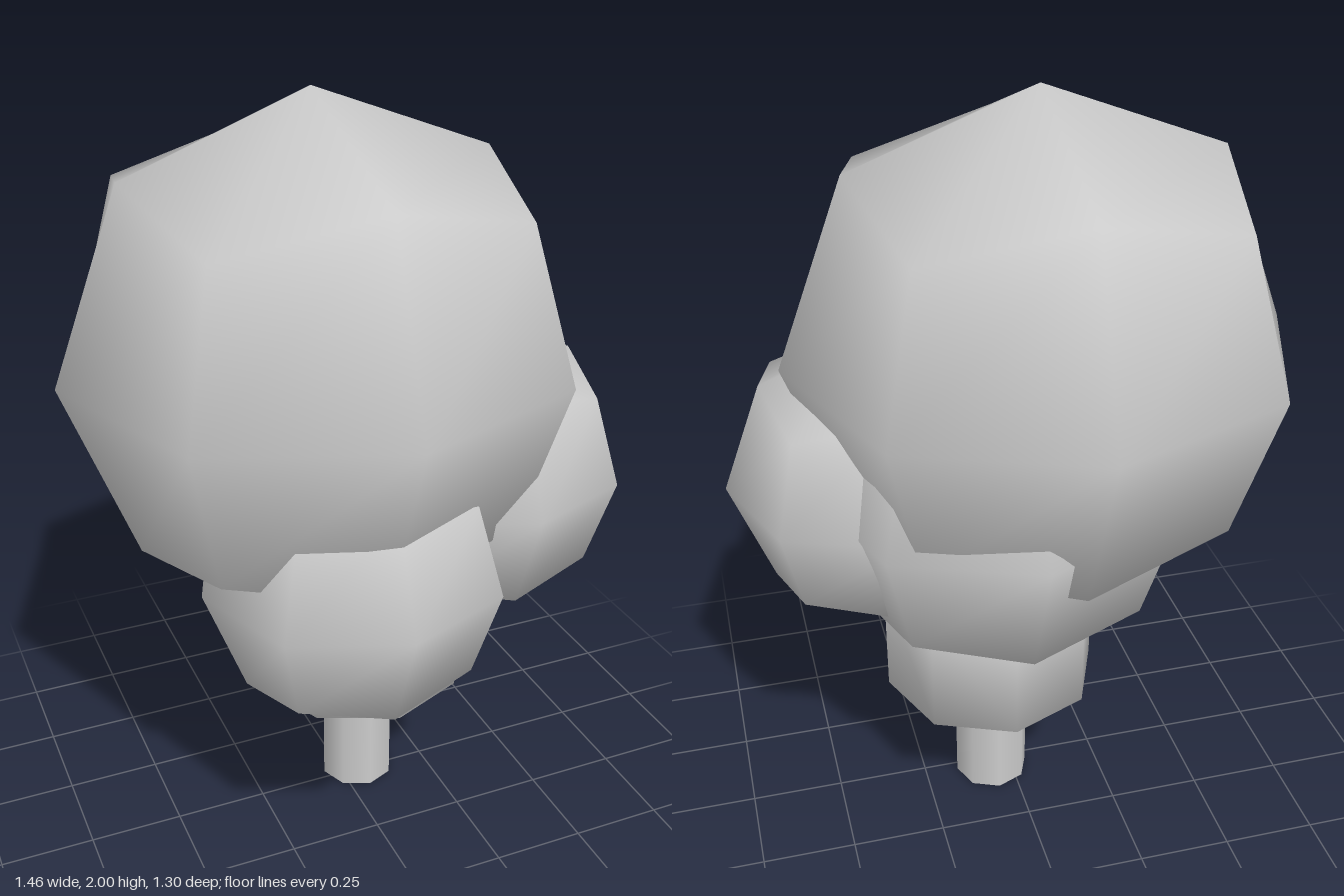
import * as THREE from 'three';
import { mergeVertices } from 'three/addons/utils/BufferGeometryUtils.js';

const material = new THREE.MeshStandardMaterial({ color: 0xcccccc });

// Cube of 2x2 quads per face rounded into a ball: face centres, edge
// midpoints and corners each get their own scale.
function ballGeometry() {
  const box = new THREE.BoxGeometry(2, 2, 2, 2, 2, 2);
  box.deleteAttribute('normal');
  box.deleteAttribute('uv');
  box.clearGroups();
  const geo = mergeVertices(box);
  const pos = geo.attributes.position;
  const scale = [0, 1, 0.726, 0.596];
  for (let i = 0; i < pos.count; i++) {
    const p = new THREE.Vector3().fromBufferAttribute(pos, i);
    const axes = p.toArray().filter((c) => Math.abs(c) > 0.5).length;
    p.multiplyScalar(scale[axes]);
    pos.setXYZ(i, p.x, p.y, p.z);
  }
  geo.computeVertexNormals();
  return geo;
}

export function createModel() {
  const group = new THREE.Group();
  const add = (name, geo, x, y, z) => {
    const mesh = new THREE.Mesh(geo, material);
    mesh.name = name;
    mesh.position.set(x, y, z);
    group.add(mesh);
    return mesh;
  };

  // Foliage: one large crown and three smaller clumps
  const ball = ballGeometry();
  const clumps = [
    ['crown', -0.08, 1.35, 0, 0.65],
    ['frontFoliage', -0.08, 0.855, 0.235, 0.39],
    ['leftFoliage', 0.337, 0.998, 0.072, 0.388],
    ['backFoliage', 0.03, 1.01, -0.03, 0.5],
  ];
  for (const [name, x, y, z, r] of clumps) add(name, ball, x, y, z).scale.setScalar(r);

  // Lower foliage around the trunk top: a coarse ball with three bands
  add('lowerFoliage', new THREE.SphereGeometry(0.337, 8, 3), 0.055, 0.533, -0.025);

  // Trunk with a small recess in its underside
  add('trunk', new THREE.CylinderGeometry(0.103, 0.103, 0.4, 8, 1, true), 0.055, 0.2, -0.025);
  const underside = new THREE.RingGeometry(0.047, 0.103, 8).rotateX(Math.PI / 2);
  add('trunkUnderside', underside, 0.055, 0, -0.025);
  const recess = new THREE.CylinderGeometry(0.047, 0.047, 0.06, 8, 1, true);
  const wall = add('trunkRecess', recess, 0.055, 0.03, -0.025);
  wall.material = material.clone();
  wall.material.side = THREE.DoubleSide;
  add('recessTop', new THREE.CircleGeometry(0.047, 8).rotateX(Math.PI / 2), 0.055, 0.06, -0.025);

  return group;
}
